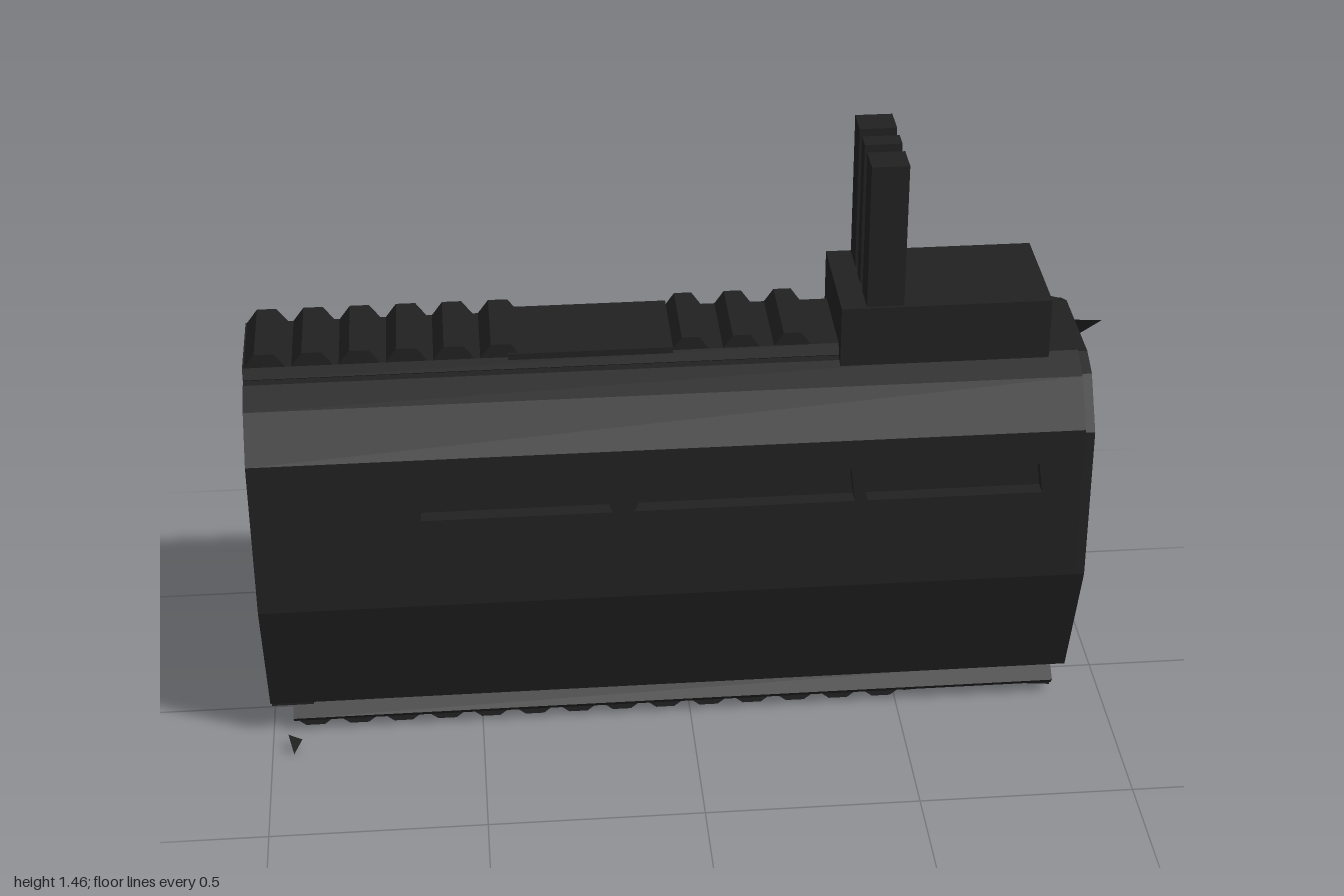
import * as THREE from 'three';

const black = new THREE.MeshStandardMaterial({ color: 0x212121 });
black.name = 'matte black';
black.flatShading = true;
const blackSheet = new THREE.MeshStandardMaterial({ color: 0x212121, side: THREE.DoubleSide });
blackSheet.name = 'matte black sheet';

const toShape = (pts) => new THREE.Shape(pts.map(([a, b]) => new THREE.Vector2(a, b)));
const mirrored = (half) => [...half, ...half.slice().reverse().map(([z, y]) => [-z, y])];

export function createModel() {
  const root = new THREE.Group();
  root.name = 'handguard';

  const add = (name, geo, mat = black) => {
    const m = new THREE.Mesh(geo, mat);
    m.name = name;
    root.add(m);
    return m;
  };
  const box = (name, x0, x1, y0, y1, z0, z1) =>
    add(name, new THREE.BoxGeometry(x1 - x0, y1 - y0, z1 - z0)
      .translate((x0 + x1) / 2, (y0 + y1) / 2, (z0 + z1) / 2));
  // Cross-section in (z, y), run along x
  const alongX = (name, pts, x0, x1, hole) => {
    const s = toShape(pts);
    if (hole) s.holes.push(toShape(hole));
    const g = new THREE.ExtrudeGeometry(s, { depth: x1 - x0, bevelEnabled: false });
    return add(name, g.rotateY(Math.PI / 2).translate(x0, 0, 0));
  };
  // Side outline in (x, y), run along z
  const alongZ = (name, pts, z0, z1, holes = []) => {
    const s = toShape(pts);
    holes.forEach((h) => s.holes.push(toShape(h)));
    const g = new THREE.ExtrudeGeometry(s, { depth: z1 - z0, bevelEnabled: false });
    return add(name, g.translate(0, 0, z0));
  };

  // Hollow body shell: lower trough and upper arch
  alongX('lowerShell', [
    ...mirrored([[0.26, 0.66], [0.26, 0.45], [0.14, 0.11]]),
    ...mirrored([[-0.225, 0.66], [-0.225, 0.46], [-0.115, 0.145]]),
  ], -1, 0.88);
  alongX('upperShell', [
    ...mirrored([[0.26, 0.785], [0.26, 0.84], [0.19, 0.94], [0.125, 0.972]]),
    ...mirrored([[-0.225, 0.785], [-0.225, 0.83], [-0.17, 0.91], [-0.11, 0.935]]),
  ], -1, 0.88);

  // Slotted side bands with recessed floors
  const slots = [
    [[-0.62, 0.68], [-0.19, 0.68], [-0.22, 0.76], [-0.62, 0.76]],
    [[-0.14, 0.68], [0.36, 0.68], [0.35, 0.765], [-0.1, 0.765]],
    [[0.39, 0.68], [0.79, 0.68], [0.78, 0.755], [0.37, 0.765]],
  ];
  const band = [[-1, 0.66], [0.88, 0.66], [0.88, 0.785], [-1, 0.785]];
  for (const s of [1, -1]) {
    const [z0, z1] = s > 0 ? [0.225, 0.26] : [-0.26, -0.225];
    alongZ('slottedSide', band, z0, z1, slots);
    box('slotFloor', -0.66, 0.82, 0.665, 0.78, Math.min(s * 0.21, s * 0.225), Math.max(s * 0.21, s * 0.225));
  }

  // Closed end with an opening around the round cap
  const opening = mirrored([[0, 0.536], [0.14, 0.58], [0.16, 0.7], [0.2, 0.82], [0.16, 0.89], [0.05, 0.92]]).slice(0, -1);
  alongX('endPlate',
    mirrored([[0.14, 0.11], [0.26, 0.45], [0.255, 0.83], [0.18, 0.94], [0.12, 0.965]]),
    0.87, 0.903, opening);
  const disc = (name, rTop, rBottom, x0, x1, sides = 8) =>
    add(name, new THREE.CylinderGeometry(rTop, rBottom, x1 - x0, sides)
      .rotateZ(-Math.PI / 2).translate((x0 + x1) / 2, 0.71, 0));
  disc('endCap', 0.155, 0.155, 0.86, 0.915);
  disc('endCapFace', 0.115, 0.155, 0.915, 0.935);
  disc('endCapHub', 0.04, 0.045, 0.93, 0.942, 4);
  disc('innerTube', 0.1, 0.1, 0.45, 0.87);

  // Inner shelf and wall ribs seen through the open end
  box('innerShelf', -0.93, 0.87, 0.44, 0.48, -0.225, 0.225);
  for (const s of [1, -1]) box('innerRib', -0.96, -0.88, 0.48, 0.85, s * 0.2 - 0.03, s * 0.2 + 0.03);

  // Top rail: base, slanted teeth and flat centre cover
  alongX('topRailBase', mirrored([[0.07, 0.95], [0.115, 0.98], [0.105, 1.005]]), -1, 0.34);
  const tooth = (name, x, w, yBase, yTip, half) =>
    alongZ(name, yTip > yBase
      ? [[x, yBase], [x + w, yBase], [x + w * 0.72, yTip], [x + w * 0.28, yTip]]
      : [[x, yBase], [x + w * 0.28, yTip], [x + w * 0.72, yTip], [x + w, yBase]], -half, half);
  for (let i = 0; i < 6; i++) tooth('topRailTooth', -1 + i * 0.105, 0.1, 1.0, 1.038, 0.105);
  box('topRailCover', -0.41, -0.04, 1.0, 1.015, -0.11, 0.11);
  for (let i = 0; i < 3; i++) tooth('topRailTooth', -0.045 + i * 0.115, 0.09, 1.0, 1.036, 0.105);

  // Bottom rail
  alongX('bottomRailBase',
    mirrored([[0.085, 0.115], [0.085, 0.08], [0.122, 0.05], [0.11, 0.035]]), -0.95, 0.88);
  for (let i = 0; i < 14; i++) tooth('bottomRailTooth', -0.95 + i * 0.105, 0.1, 0.037, 0.014, 0.1);
  alongZ('bottomRailEnd', [[0.52, 0.04], [0.52, 0.022], [0.7, 0.035], [0.88, 0.018], [0.88, 0.04]], -0.095, 0.095);
  box('bottomRailFoot', -1, -0.9, 0.075, 0.115, -0.1, 0.1);

  // Front sight: block with three upright posts
  box('sightBlock', 0.335, 0.81, 0.945, 1.11, -0.14, 0.14);
  box('sightMount', 0.36, 0.79, 0.83, 0.95, -0.14, 0.14);
  box('sightPost', 0.392, 0.476, 1.1, 1.455, -0.022, 0.022);
  for (const s of [1, -1]) box('sightWing', 0.392, 0.476, 1.1, 1.455, s * 0.097 - 0.037, s * 0.097 + 0.037);

  // Thin pointed tabs at the corners
  const tab = (name, pts) => {
    const g = new THREE.BufferGeometry();
    g.setAttribute('position', new THREE.Float32BufferAttribute(pts.flat(), 3));
    g.computeVertexNormals();
    add(name, g, blackSheet);
  };
  tab('cornerTab', [[0.895, 0.84, -0.255], [0.93, 0.8, -0.215], [0.995, 0.9, -0.135]]);
  for (const s of [1, -1])
    tab('lowerTab', [[-0.96, 0.055, s * 0.19], [-0.93, 0.02, s * 0.165], [-0.95, 0, s * 0.195]]);

  return root;
}
